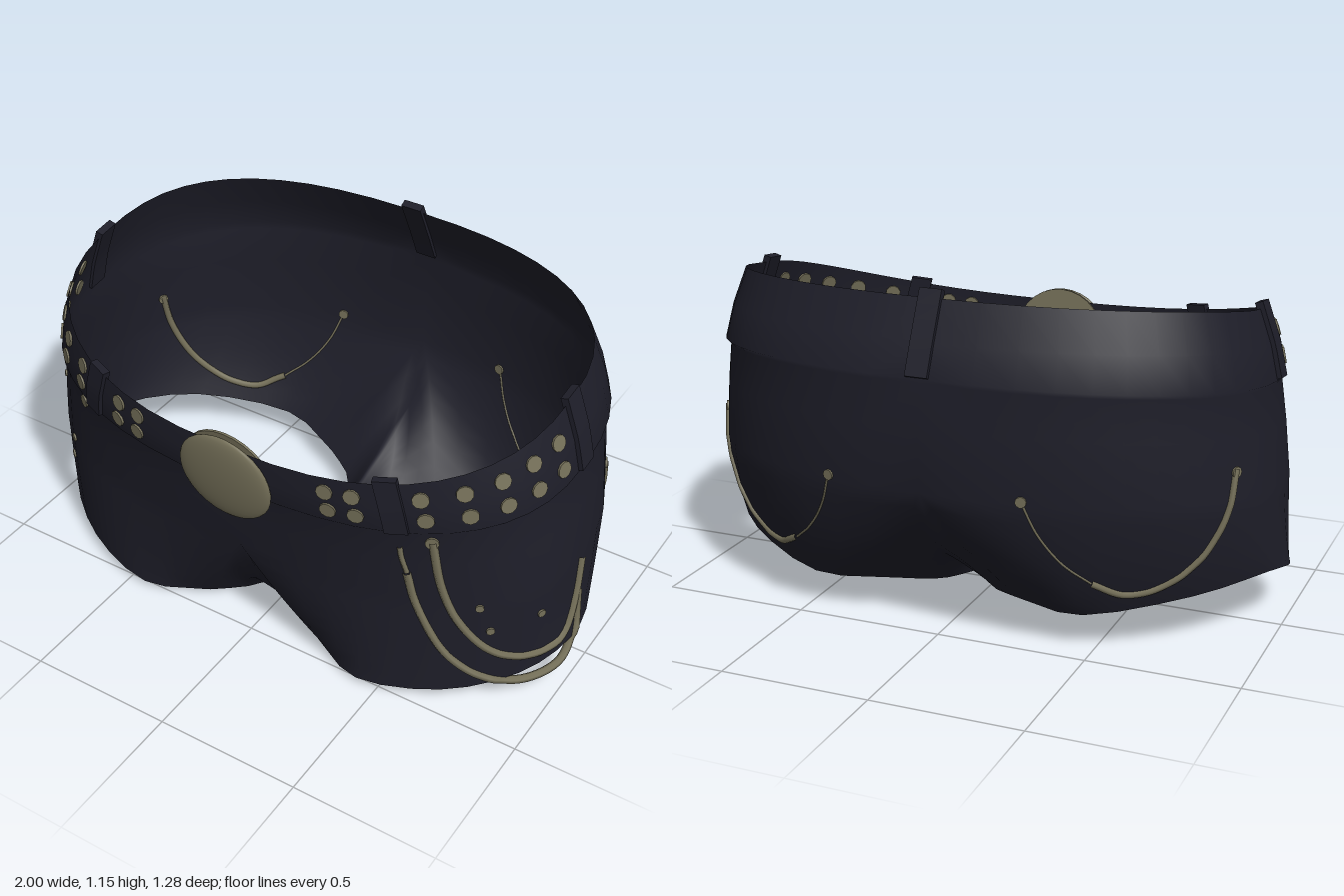
import * as THREE from 'three';
import { mergeVertices } from 'three/addons/utils/BufferGeometryUtils.js';

const V = (x, y, z) => new THREE.Vector3(x, y, z);
const mix = THREE.MathUtils.lerp;
const COLS = 24, SEAM = 14, LEG_ROWS = 7;

// Horizontal rings: half width, front z, back z, height at front, side and back,
// then the roundness of the front and back halves (1 = ellipse, less = squarer)
const RINGS = [
  [0.88, 0.605, -0.525, 0.85, 1.033, 1.112, 0.8, 0.82],
  [0.92, 0.605, -0.585, 0.77, 0.92, 0.99, 0.8, 0.82],
  [0.945, 0.595, -0.632, 0.69, 0.81, 0.885, 0.8, 0.83],
  [0.932, 0.582, -0.618, 0.675, 0.795, 0.868, 0.8, 0.84],
  [0.952, 0.568, -0.636, 0.56, 0.66, 0.73, 0.79, 0.87],
  [0.972, 0.548, -0.626, 0.42, 0.48, 0.52, 0.78, 0.88],
];

// Point on a ring; the angle runs from the front (0) over +x to the back (PI)
function ringPoint([rx, zf, zb, yf, ys, yb, ef, eb], a) {
  const c = Math.cos(a), s = Math.sin(a), zc = 0.05, e = c > 0 ? ef : eb;
  const y = ys + (yf - yb) / 2 * c + ((yf + yb) / 2 - ys) * c * c;
  const x = rx * Math.sign(s) * Math.abs(s) ** e;
  return V(x, y, zc + Math.abs(c) ** e * ((c > 0 ? zf : zb) - zc));
}
// Point on the waistband, t = 0 at its lower edge and 1 at the rim
const bandPoint = (a, t) => {
  const r = t < 0.5 ? 2 : 1;
  return ringPoint(RINGS[r], a).lerp(ringPoint(RINGS[r - 1], a), t < 0.5 ? 2 * t : 2 * t - 1);
};

function shortsGeometry() {
  const pos = [], idx = [];
  const addGrid = (rows, closed) => {
    for (const side of [1, -1]) {
      const base = pos.length / 3, n = rows[0].length;
      rows.flat().forEach((p) => pos.push(side * p.x, p.y, p.z));
      for (let r = 0; r < rows.length - 1; r++) {
        for (let c = 0; c < (closed ? n : n - 1); c++) {
          const a = base + r * n + c, b = base + r * n + (c + 1) % n, d = a + n, e = b + n;
          if (side > 0) idx.push(a, d, b, b, d, e);
          else idx.push(a, b, d, b, e, d);
        }
      }
    }
  };
  // Waistband and hips
  const hips = RINGS.map((ring) => Array.from({ length: COLS + 1 }, (_, i) => {
    const p = ringPoint(ring, Math.PI * i / COLS);
    if (i === 0 || i === COLS) p.x = 0;
    return p;
  }));
  addGrid(hips, false);

  // Legs: half a hip ring plus the crotch seam, lofted down to the hem
  const edge = hips[hips.length - 1];
  const hemOuter = [V(0.22, 0.01, 0.43), V(0.43, 0.02, 0.525), V(0.7, 0.05, 0.45),
    V(0.9, 0.105, 0.3), V(0.992, 0.165, 0.12), V(0.962, 0.2, -0.06), V(0.78, 0.175, -0.29),
    V(0.47, 0.12, -0.44), V(0.22, 0.1, -0.35)];
  const hemInner = [hemOuter[8], V(0.1, 0.085, -0.27), V(0.045, 0.07, -0.15),
    V(0.035, 0.04, 0), V(0.04, 0, 0.17), V(0.11, 0, 0.32), hemOuter[0]];
  const seam = [edge[COLS], V(0, 0.3, -0.5), V(0, 0.17, -0.25), V(0, 0.115, 0),
    V(0, 0.087, 0.22), V(0, 0.17, 0.44), edge[0]];
  const curve = (pts) => new THREE.CatmullRomCurve3(pts, false, 'catmullrom');
  const inside = (pts) => curve(pts).getPoints(SEAM).slice(1, -1);
  const top = [...edge, ...inside(seam)];
  const hem = [...curve(hemOuter).getPoints(COLS), ...inside(hemInner)];
  const rows = [];
  for (let r = 0; r <= LEG_ROWS; r++) {
    const t = r / LEG_ROWS;
    rows.push(top.map((p, i) => {
      const h = hem[i], seamCol = i > COLS, endCol = i === 0 || i === COLS;
      const kx = seamCol ? 0.6 : endCol ? 0.45 : 0.3;
      const ky = seamCol ? 0.3 : endCol ? 0.45 : 0.6;
      const ctrl = V(mix(p.x, h.x, kx), mix(p.y, h.y, ky), mix(p.z, h.z, 0.3));
      return new THREE.QuadraticBezierCurve3(p, ctrl, h).getPoint(t);
    }));
  }
  addGrid(rows, true);
  const geo = new THREE.BufferGeometry();
  geo.setAttribute('position', new THREE.Float32BufferAttribute(pos, 3));
  geo.setIndex(idx);
  const merged = mergeVertices(geo, 1e-4);
  merged.computeVertexNormals();
  return merged;
}

// Belt loop: a thin strip bent to follow the waistband at one angle
function beltLoopGeometry(a) {
  const low = bandPoint(a, 0), high = bandPoint(a, 1);
  const across = bandPoint(a + 0.05, 0.5).sub(bandPoint(a - 0.05, 0.5)).normalize();
  const out = across.clone().cross(high.sub(low)).normalize();
  const geo = new THREE.BoxGeometry(0.074, 1.08, 0.026, 1, 6, 1);
  geo.translate(0, 0.56, 0);
  const p = geo.attributes.position;
  for (let i = 0; i < p.count; i++) {
    const q = bandPoint(a, p.getY(i));
    q.addScaledVector(across, p.getX(i)).addScaledVector(out, p.getZ(i));
    p.setXYZ(i, q.x, q.y, q.z);
  }
  geo.computeVertexNormals();
  return geo;
}

export function createModel() {
  const group = new THREE.Group();
  const cloth = new THREE.MeshStandardMaterial({ color: 0x1e1e29, side: THREE.DoubleSide });
  cloth.name = 'dark navy cloth';
  const metal = new THREE.MeshStandardMaterial({ color: 0x757059 });
  metal.name = 'aged brass';
  const add = (name, geo, mat) => {
    const mesh = new THREE.Mesh(geo, mat);
    mesh.name = name;
    group.add(mesh);
    return mesh;
  };
  const shorts = add('shorts', shortsGeometry(), cloth);

  // Nearest cloth point in line with p, seen from outside; null where p hangs free
  const ray = new THREE.Raycaster();
  const findCloth = (p) => {
    const out = V(p.x, 0, p.z).normalize();
    ray.set(V(0, p.y, 0).addScaledVector(out, 3), out.clone().negate());
    const hit = ray.intersectObject(shorts)[0];
    return hit && hit.point.distanceTo(p) < 0.12 ? hit : null;
  };

  // Belt loops at the front, sides and back
  for (const a of [0.56, Math.PI / 2, Math.PI, Math.PI * 1.5, Math.PI * 2 - 0.56]) {
    add('beltLoop', beltLoopGeometry(a), cloth);
  }

  // Studs set through the cloth
  const disc = (name, p, r) => {
    const hit = findCloth(p);
    if (!hit) return;
    const mesh = add(name, new THREE.CylinderGeometry(r, r, 0.013, 10), metal);
    mesh.quaternion.setFromUnitVectors(V(0, 1, 0), hit.face.normal);
    mesh.position.copy(hit.point);
  };
  for (const s of [1, -1]) {
    for (const a of [0.308, 0.41, 0.69, 0.89, 1.083, 1.266, 1.436]) {
      for (const t of [0.28, 0.69]) disc('beltStud', bandPoint(a, t).multiply(V(s, 1, 1)), 0.027);
    }
    disc('chainStud', V(s * 0.675, 0.675, 0.485), 0.022);
    for (const p of [V(0.82, 0.415, 0.41), V(0.85, 0.315, 0.385), V(0.95, 0.345, 0.25)]) {
      disc('thighStud', p.multiply(V(s, 1, 1)), 0.014);
    }
    disc('pocketStud', V(s * 0.33, 0.53, -0.61), 0.018);
    disc('pocketStud', V(s * 0.88, 0.59, -0.25), 0.018);
  }
  disc('hipStud', V(-0.84, 0.65, 0.36), 0.011);

  // Chains, laid on the cloth where they touch it
  const chain = (name, pts, r) => {
    const path = new THREE.CatmullRomCurve3(pts).getPoints(28).map((p) => {
      const hit = findCloth(p);
      return hit ? hit.point : p;
    });
    add(name, new THREE.TubeGeometry(new THREE.CatmullRomCurve3(path), 56, r, 6), metal);
  };
  chain('hipChain', [V(0.68, 0.68, 0.487), V(0.705, 0.5, 0.467), V(0.76, 0.345, 0.435),
    V(0.84, 0.225, 0.37), V(0.92, 0.178, 0.275), V(0.985, 0.2, 0.155), V(0.985, 0.32, 0.09),
    V(0.975, 0.46, 0.06)], 0.014);
  chain('hipChain', [V(0.6, 0.54, 0.505), V(0.635, 0.4, 0.49), V(0.715, 0.21, 0.445),
    V(0.81, 0.11, 0.375), V(0.91, 0.073, 0.285), V(0.98, 0.095, 0.17), V(0.985, 0.18, 0.095),
    V(0.98, 0.34, 0.075)], 0.014);
  chain('hipChainEnd', [V(0.57, 0.645, 0.51), V(0.58, 0.6, 0.51), V(0.6, 0.54, 0.505)], 0.009);
  for (const s of [1, -1]) {
    const sided = (pts) => pts.map((p) => p.multiply(V(s, 1, 1)));
    chain('pocketChain', sided([V(0.88, 0.6, -0.25), V(0.865, 0.45, -0.28), V(0.82, 0.32, -0.325),
      V(0.74, 0.23, -0.39), V(0.64, 0.205, -0.45), V(0.53, 0.25, -0.5)]), 0.012);
    chain('pocketChainEnd', sided([V(0.53, 0.25, -0.5), V(0.45, 0.32, -0.55),
      V(0.38, 0.42, -0.59), V(0.33, 0.53, -0.61)]), 0.004);
  }

  // Domed buckle with a thin plate behind the cloth
  const buckle = add('buckle', new THREE.SphereGeometry(0.17, 28, 16), metal);
  buckle.scale.set(1, 0.95, 0.16);
  buckle.position.set(0, 0.73, 0.606);
  buckle.rotation.x = 0.1;
  const plate = add('bucklePlate', new THREE.CylinderGeometry(0.165, 0.165, 0.008, 28), metal);
  plate.position.set(0, 0.73, 0.578);
  plate.rotation.x = Math.PI / 2 + 0.13;
  return group;
}
